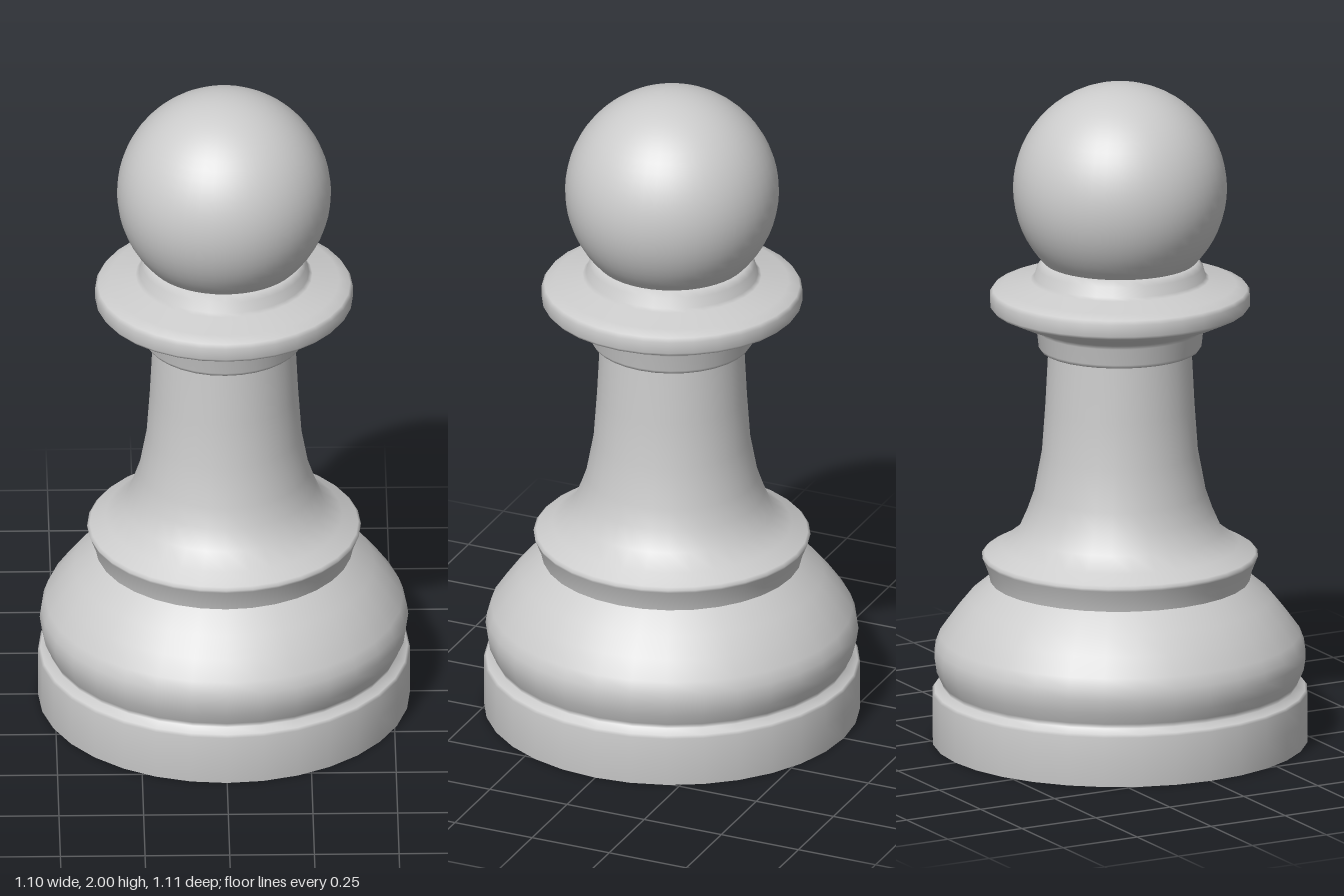
import * as THREE from 'three';

const SIDES = 32;
const material = new THREE.MeshStandardMaterial({ color: 0xcccccc });

// Turned part from [radius, height] pairs, listed bottom to top
function turned(name, profile) {
  const points = profile.map(([r, y]) => new THREE.Vector2(r, y));
  const mesh = new THREE.Mesh(new THREE.LatheGeometry(points, SIDES), material);
  mesh.name = name;
  return mesh;
}

export function createModel() {
  const group = new THREE.Group();
  group.name = 'pawn';

  // Flat underside
  const underside = new THREE.Mesh(new THREE.CircleGeometry(0.557, SIDES), material);
  underside.name = 'underside';
  underside.geometry.rotateX(Math.PI / 2);
  underside.geometry.rotateY(Math.PI / 2);
  group.add(underside);

  // Foot ring, groove and rounded bulge
  group.add(turned('base', [
    [0.55, 0], [0.557, 0], [0.557, 0.08], [0.557, 0.15], [0.55, 0.158],
    [0.525, 0.17], [0.53, 0.185], [0.546, 0.22], [0.552, 0.26], [0.548, 0.29],
    [0.535, 0.325], [0.495, 0.38], [0.45, 0.435], [0.385, 0.49],
  ]));

  // Ledge flaring into the slender stem
  group.add(turned('stem', [
    [0.385, 0.49], [0.392, 0.52], [0.406, 0.556], [0.41, 0.565], [0.402, 0.573],
    [0.355, 0.598], [0.302, 0.638], [0.275, 0.7], [0.255, 0.757], [0.232, 0.88],
    [0.222, 1.02], [0.213, 1.195],
  ]));

  // Neck ring, wide flange and seat under the head
  group.add(turned('collar', [
    [0.205, 1.192], [0.235, 1.194], [0.242, 1.205], [0.248, 1.255], [0.256, 1.268],
    [0.32, 1.293], [0.378, 1.32], [0.386, 1.33], [0.386, 1.365], [0.378, 1.377],
    [0.345, 1.39], [0.265, 1.407], [0.254, 1.415], [0.246, 1.445], [0.232, 1.462],
    [0.2, 1.465],
  ]));

  // Round head
  const head = new THREE.Mesh(new THREE.SphereGeometry(0.316, 48, 32), material);
  head.name = 'head';
  head.position.y = 1.684;
  group.add(head);

  // The turned parts are very slightly narrower from side to side
  for (const part of group.children) if (part !== head) part.scale.x = 0.986;
  return group;
}
